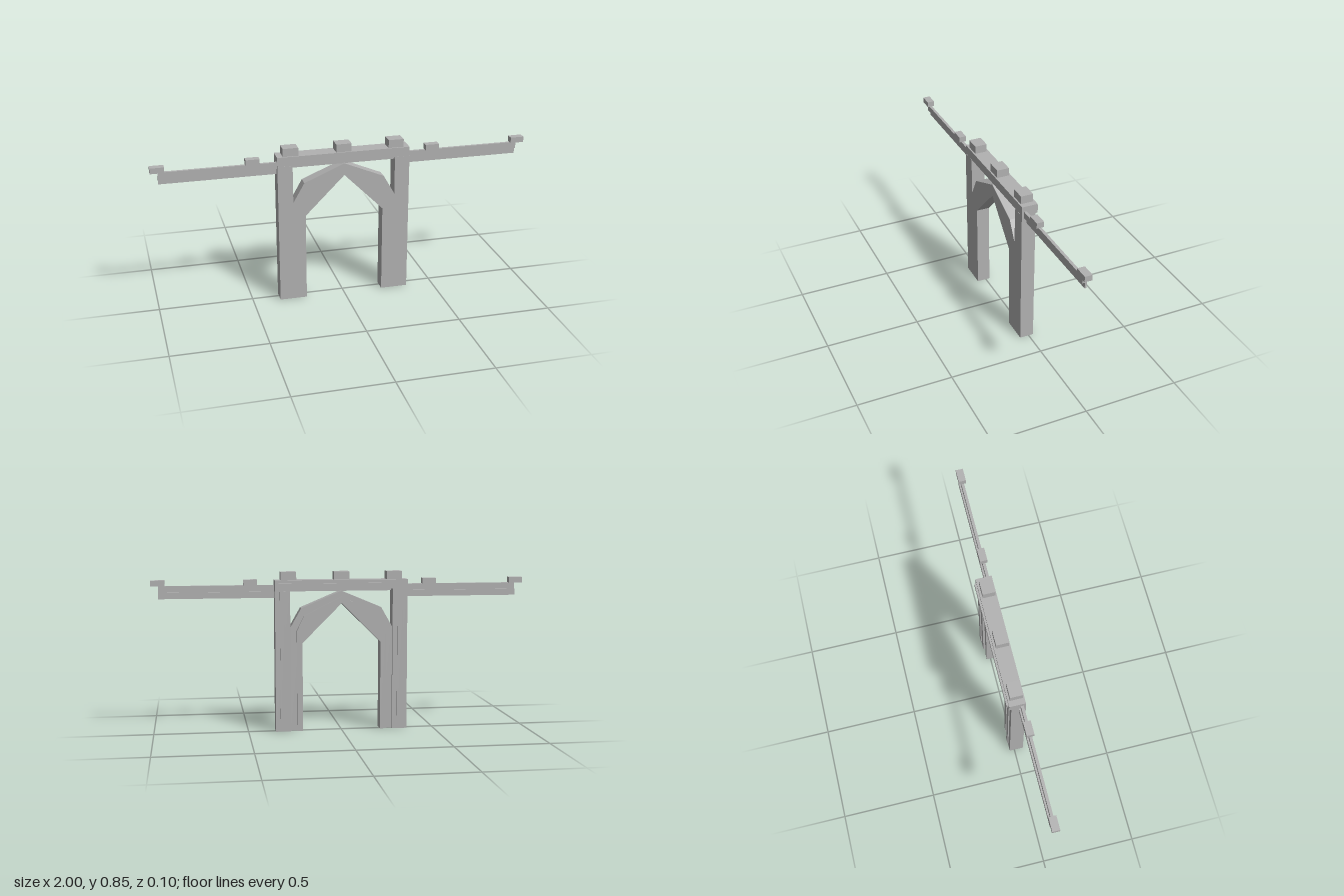
import * as THREE from 'three';

export function createModel() {
  const model = new THREE.Group();
  model.name = 'archedGantry';
  const concrete = new THREE.MeshStandardMaterial({ color: 0xb2b2b2 });
  concrete.name = 'concreteGrey';

  const add = (name, geometry) => {
    const mesh = new THREE.Mesh(geometry, concrete);
    mesh.name = name;
    model.add(mesh);
  };
  // Box given by its limits on each axis
  const box = (name, x0, x1, y0, y1, z0, z1) => {
    const g = new THREE.BoxGeometry(x1 - x0, y1 - y0, z1 - z0);
    g.translate((x0 + x1) / 2, (y0 + y1) / 2, (z0 + z1) / 2);
    add(name, g);
  };
  // Symmetric outline from its right half, extruded between two depths
  const arch = (name, outer, inner, z0, z1) => {
    const flip = (pts) => pts.map(([x, y]) => [-x, y]);
    const left = [...outer].reverse();
    const pts = [
      ...outer,
      ...flip(left).slice(1),
      ...flip(inner),
      ...[...inner].reverse().slice(1),
    ];
    const shape = new THREE.Shape(pts.map(([x, y]) => new THREE.Vector2(x, y)));
    const g = new THREE.ExtrudeGeometry(shape, { depth: z1 - z0, bevelEnabled: false });
    g.translate(0, 0, z0);
    add(name, g);
  };

  // Inner legs and pointed arch, with a raised rib along the opening at the back
  const opening = [[0.21, 0], [0.21, 0.475], [0, 0.685]];
  arch('archFrame', [[0.275, 0], [0.275, 0.555], [0.215, 0.66], [0, 0.75]], opening, -0.012, 0.049);
  arch('archRib', [[0.24, 0], [0.24, 0.54], [0.2, 0.62], [0, 0.72]], opening, -0.022, -0.012);

  // Top beam with a narrow ledge at the back
  box('topBeam', -0.355, 0.355, 0.76, 0.81, -0.037, 0.048);
  box('beamLedge', -0.34, 0.34, 0.765, 0.793, -0.047, -0.037);

  // Upper rail runs right through the frame
  box('upperRail', -0.96, 0.96, 0.747, 0.782, 0.022, 0.037);

  for (const s of [-1, 1]) {
    const side = (name, a, b, ...rest) =>
      box(name, Math.min(s * a, s * b), Math.max(s * a, s * b), ...rest);
    side('pillar', 0.275, 0.355, 0, 0.76, -0.026, 0.049);
    side('pillarStrip', 0.3, 0.33, 0.07, 0.75, -0.034, -0.028);
    side('lowerRail', 0.355, 0.96, 0.715, 0.748, 0.013, 0.023);
    side('middleRailBlock', 0.445, 0.518, 0.782, 0.812, 0.009, 0.048);
    side('endRailBlock', 0.927, 1, 0.782, 0.812, 0.009, 0.048);
  }

  // Blocks on top of the beam
  for (const x of [-0.283, 0, 0.283]) {
    box('beamBlock', x - 0.041, x + 0.041, 0.81, 0.853, -0.026, 0.04);
  }
  return model;
}
